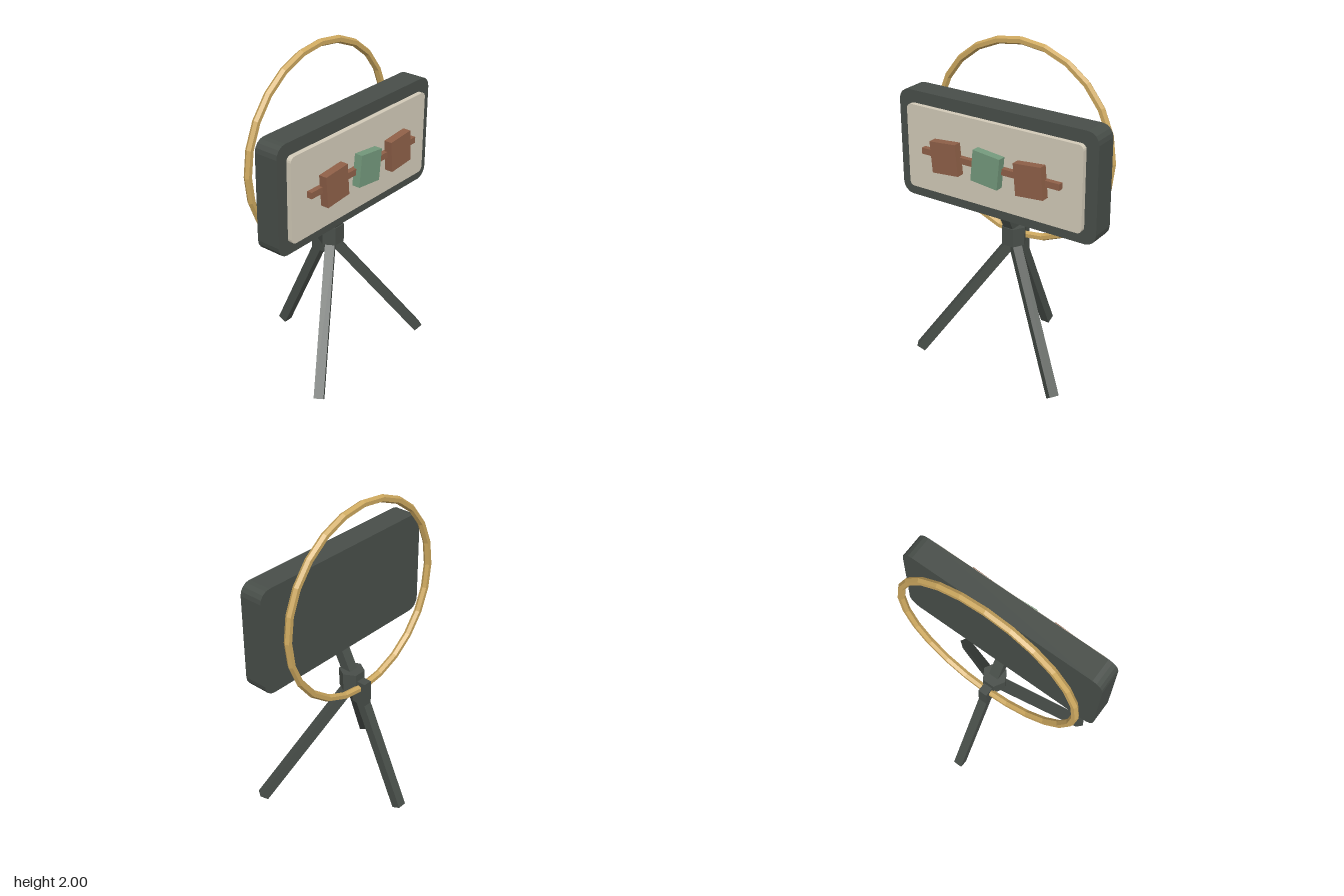
import * as THREE from 'three';

const material = (name, color) => {
  const m = new THREE.MeshStandardMaterial({ color });
  m.name = name;
  return m;
};

// Faceted normals without touching the material
function faceted(geometry) {
  const g = geometry.index ? geometry.toNonIndexed() : geometry;
  g.computeVertexNormals();
  return g;
}

// Upright slab with rounded corners, back face at z = 0
function roundedSlab(w, h, r, depth) {
  const x = w / 2 - r, y = h / 2 - r, q = Math.PI / 2;
  const s = new THREE.Shape();
  s.absarc(x, y, r, 0, q);
  s.absarc(-x, y, r, q, 2 * q);
  s.absarc(-x, -y, r, 2 * q, 3 * q);
  s.absarc(x, -y, r, 3 * q, 4 * q);
  s.closePath();
  return faceted(new THREE.ExtrudeGeometry(s, { depth, bevelEnabled: false, curveSegments: 2 }));
}

export function createModel() {
  const group = new THREE.Group();
  const dark = material('charcoal', 0x484e49);
  const cream = material('cream', 0xd2cab8);
  const brown = material('copper brown', 0x8f6048);
  const green = material('sage green', 0x74997c);
  const gold = material('brass', 0xcda85f);

  const add = (name, geometry, mat, x, y, z) => {
    const mesh = new THREE.Mesh(geometry, mat);
    mesh.name = name;
    mesh.position.set(x, y, z);
    group.add(mesh);
    return mesh;
  };

  // Square bar between two points
  const strut = (name, from, to, width) => {
    const a = new THREE.Vector3(...from), b = new THREE.Vector3(...to);
    const mid = a.clone().add(b).multiplyScalar(0.5);
    const bar = add(name, new THREE.BoxGeometry(width, width, a.distanceTo(b)), dark, mid.x, mid.y, mid.z);
    bar.lookAt(b);
  };

  // Sign panel and its face plate
  add('panelHousing', roundedSlab(1.33, 0.66, 0.07, 0.15), dark, 0, 1.33, 0.075);
  add('facePlate', roundedSlab(1.18, 0.515, 0.03, 0.04), cream, 0, 1.328, 0.215);

  // Rail with three tilted tiles
  add('tileRail', new THREE.BoxGeometry(0.93, 0.038, 0.033), brown, 0, 1.328, 0.27);
  for (const [name, x, mat, degrees] of [
    ['leftTile', 0.285, brown, 5],
    ['middleTile', 0, green, -6],
    ['rightTile', -0.285, brown, 5],
  ]) {
    const tile = add(name, new THREE.BoxGeometry(0.18, 0.19, 0.05), mat, x, 1.328, 0.293);
    tile.rotation.z = THREE.MathUtils.degToRad(degrees);
  }

  // Ring behind the panel
  add('ring', faceted(new THREE.TorusGeometry(0.598, 0.023, 6, 24)), gold, 0, 1.379, -0.05);

  // Hub, neck and ring bracket
  const hub = new THREE.CylinderGeometry(0.078, 0.078, 0.115, 6);
  hub.rotateY(Math.PI / 6 * 3);
  add('hub', faceted(hub), dark, 0, 0.818, 0.03);
  strut('neck', [0, 0.82, 0.025], [0, 1.06, 0.147], 0.065);
  add('ringBracket', new THREE.BoxGeometry(0.058, 0.155, 0.095), dark, 0, 0.752, -0.048);

  // Tripod legs
  for (const side of [-1, 1]) {
    strut(side > 0 ? 'leftLeg' : 'rightLeg', [0, 0.78, 0.03], [side * 0.485, 0.02, 0.348], 0.058);
  }
  strut('rearLeg', [0, 0.78, -0.016], [0, 0.027, -0.358], 0.058);

  return group;
}
